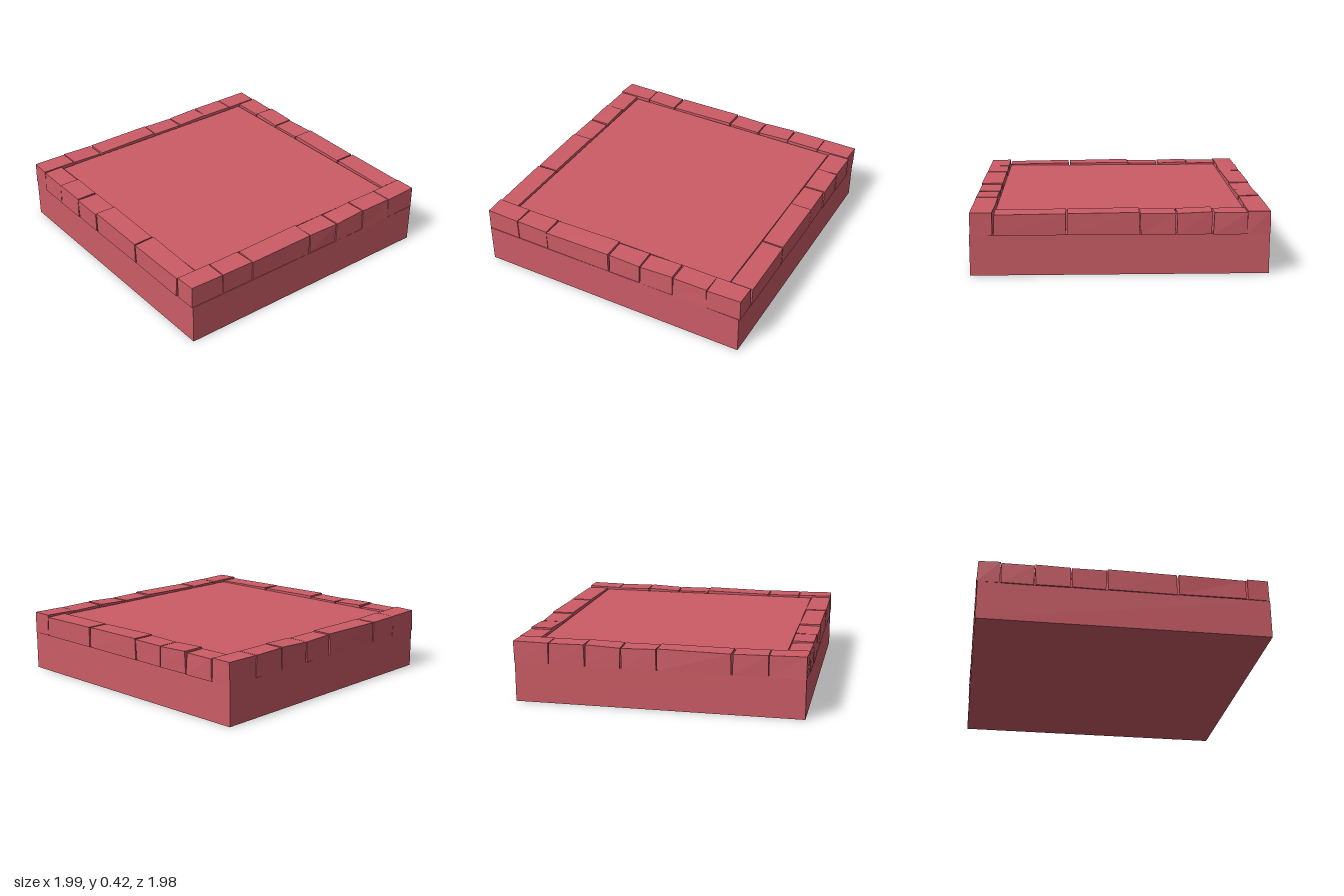
import * as THREE from 'three';

const material = new THREE.MeshStandardMaterial({ color: 0xcc5c66, flatShading: true });

// Small seeded generator for the hand-cut look of the stones
let seed = 11;
const jitter = (amount) => {
  seed = (seed * 16807) % 2147483647;
  return (seed / 2147483647 - 0.5) * 2 * amount;
};

function block(name, x0, x1, y0, y1, z0, z1) {
  const geometry = new THREE.BoxGeometry(x1 - x0, y1 - y0, z1 - z0);
  geometry.translate((x0 + x1) / 2, (y0 + y1) / 2, (z0 + z1) / 2);
  const mesh = new THREE.Mesh(geometry, material);
  mesh.name = name;
  return mesh;
}

// Stone with its eight corners nudged; the top slopes from h0 to h1 along its row
function stone(name, x0, x1, z0, z1, h0, h1, alongX) {
  const mesh = block(name, x0, x1, 0.27, 0.42, z0, z1);
  const p = mesh.geometry.attributes.position;
  const corners = new Map();
  for (let i = 0; i < p.count; i++) {
    const x = p.getX(i), y = p.getY(i), z = p.getZ(i);
    const key = [x, y, z].map((v) => v.toFixed(3)).join();
    if (!corners.has(key)) corners.set(key, [jitter(0.004), jitter(0.002), jitter(0.004)]);
    const [dx, dy, dz] = corners.get(key);
    const atStart = alongX ? x < (x0 + x1) / 2 : z < (z0 + z1) / 2;
    const height = y > 0.35 ? (atStart ? h0 : h1) : y;
    p.setXYZ(i, x + dx, height + dy, z + dz);
  }
  mesh.geometry.computeVertexNormals();
  return mesh;
}

export function createModel() {
  const model = new THREE.Group();
  model.name = 'stoneFloorTile';

  // Solid base and the flat floor inside the border
  model.add(block('base', -0.985, 0.98, 0, 0.272, -0.985, 0.985));
  model.add(block('floor', -0.84, 0.83, 0.272, 0.403, -0.83, 0.82));

  // Front and back rows: start, end, height at start, height at end
  const longRow = [
    [-0.99, -0.742, 0.422, 0.417], [-0.74, -0.505, 0.417, 0.414],
    [-0.495, -0.004, 0.414, 0.421], [0.003, 0.238, 0.414, 0.412],
    [0.247, 0.487, 0.413, 0.421], [0.496, 0.738, 0.42, 0.417],
    [0.742, 0.985, 0.418, 0.421],
  ];
  // Left and right rows, between the front and back ones
  const sideRow = [
    [-0.835, -0.614, 0.417, 0.413], [-0.604, -0.374, 0.421, 0.414],
    [-0.364, -0.134, 0.412, 0.413], [-0.124, 0.344, 0.421, 0.414],
    [0.356, 0.822, 0.417, 0.411],
  ];

  const border = new THREE.Group();
  border.name = 'borderStones';
  for (const [a, b, h0, h1] of longRow) {
    border.add(stone('frontStone', a, b, 0.832, 0.982, h0, h1, true));
    border.add(stone('backStone', a, b, -0.988, -0.84, h0, h1, true));
  }
  for (const [a, b, h0, h1] of sideRow) {
    border.add(stone('leftStone', 0.842, 0.992, a, b, h0, h1, false));
    border.add(stone('rightStone', -0.995, -0.848, a, b, h0, h1, false));
  }
  model.add(border);
  return model;
}
